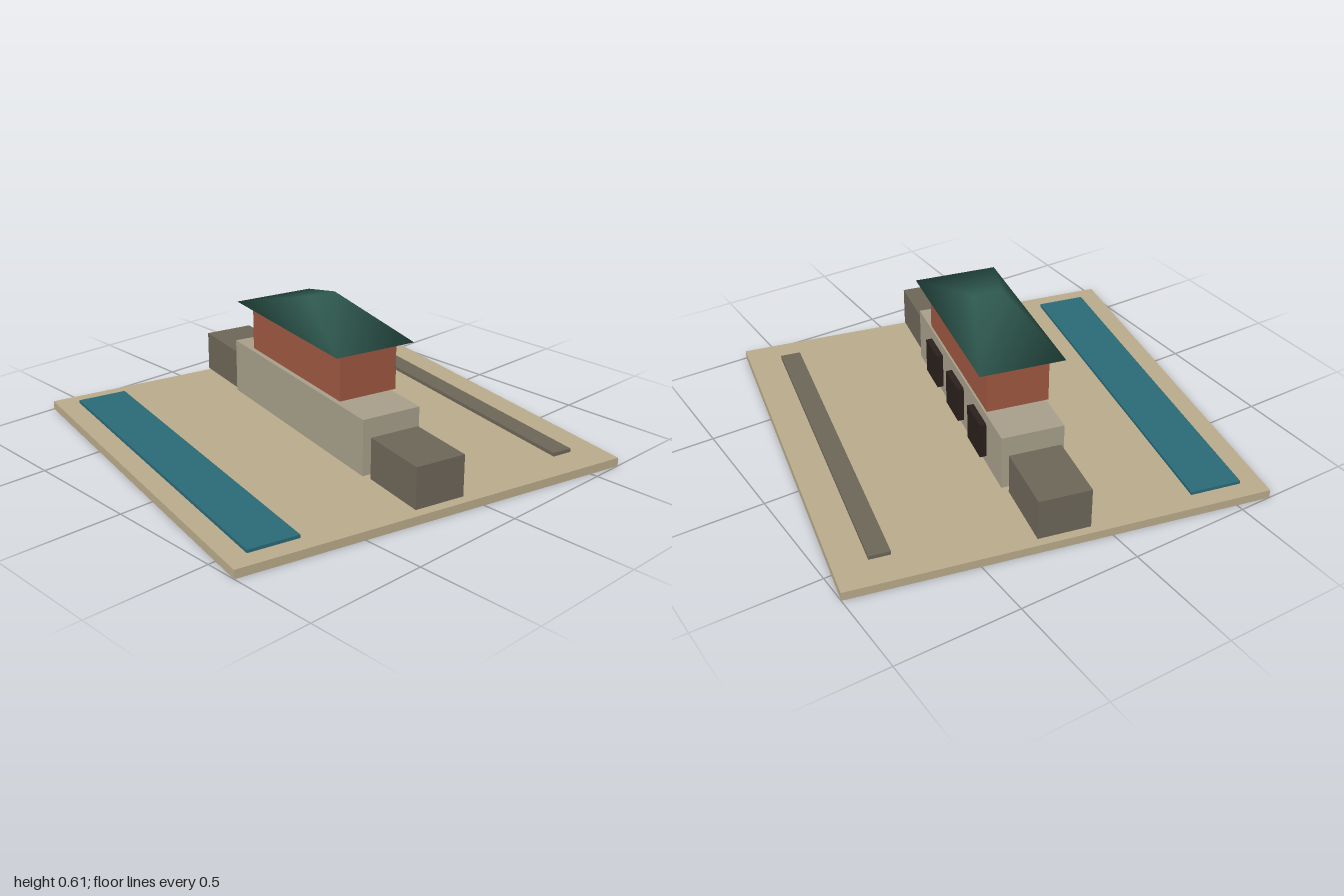
import * as THREE from 'three';

const COLORS = {
  sand: 0xb8a98a, stone: 0x6c6558, plaster: 0xa69e89,
  brick: 0x9c5740, roof: 0x2f5a50, water: 0x2a6976, dark: 0x2a1f1c,
};
const materials = {};
for (const key in COLORS) materials[key] = new THREE.MeshStandardMaterial({ color: COLORS[key] });

// Box given by its plan size, its bottom and top heights, and its plan position
function block(parent, name, material, width, depth, bottom, top, x = 0, z = 0) {
  const mesh = new THREE.Mesh(new THREE.BoxGeometry(width, top - bottom, depth), materials[material]);
  mesh.name = name;
  mesh.position.set(x, (bottom + top) / 2, z);
  parent.add(mesh);
}

// Steep-ended roof with a short ridge running front to back; shared corners give soft shading
function roofGeometry(width, depth, ridge, bottom, top) {
  const w = width / 2, d = depth / 2, r = ridge / 2;
  const geometry = new THREE.BufferGeometry();
  geometry.setAttribute('position', new THREE.Float32BufferAttribute([
    -w, bottom, d, w, bottom, d, w, bottom, -d, -w, bottom, -d, // eave corners
    0, top, r, 0, top, -r, // ridge ends
  ], 3));
  geometry.setIndex([
    0, 1, 4, // front
    1, 2, 5, 1, 5, 4, // left side
    2, 3, 5, // back
    3, 0, 4, 3, 4, 5, // right side
    0, 3, 2, 0, 2, 1, // underside
  ]);
  geometry.computeVertexNormals();
  return geometry;
}

export function createModel() {
  const model = new THREE.Group();
  model.name = 'pavilion';

  // Everything sits on a plot turned slightly about the vertical
  const plot = new THREE.Group();
  plot.name = 'plot';
  plot.rotation.y = -0.22;
  model.add(plot);

  // Grounds
  block(plot, 'groundSlab', 'sand', 1.675, 1.675, 0, 0.035);
  block(plot, 'pool', 'water', 1.523, 0.207, 0.035, 0.048, 0, 0.646);
  block(plot, 'backWall', 'stone', 1.422, 0.084, 0.042, 0.057, 0, -0.662);

  // Main hall with a low wing at each end
  block(plot, 'mainHall', 'plaster', 1.005, 0.251, 0.057, 0.284);
  for (const side of [-1, 1]) {
    block(plot, side > 0 ? 'leftWing' : 'rightWing', 'stone', 0.293, 0.209, 0.05, 0.217, side * 0.672);
  }

  // Dark openings along the back of the hall
  for (const i of [-1, 0, 1]) {
    block(plot, 'backOpening', 'dark', 0.146, 0.052, 0.09, 0.24, i * 0.262, -0.1255);
  }

  // Upper storey and roof
  block(plot, 'upperStorey', 'brick', 0.682, 0.251, 0.3, 0.48);
  const roof = new THREE.Mesh(roofGeometry(0.784, 0.343, 0.12, 0.497, 0.61), materials.roof);
  roof.name = 'roof';
  plot.add(roof);

  return model;
}
